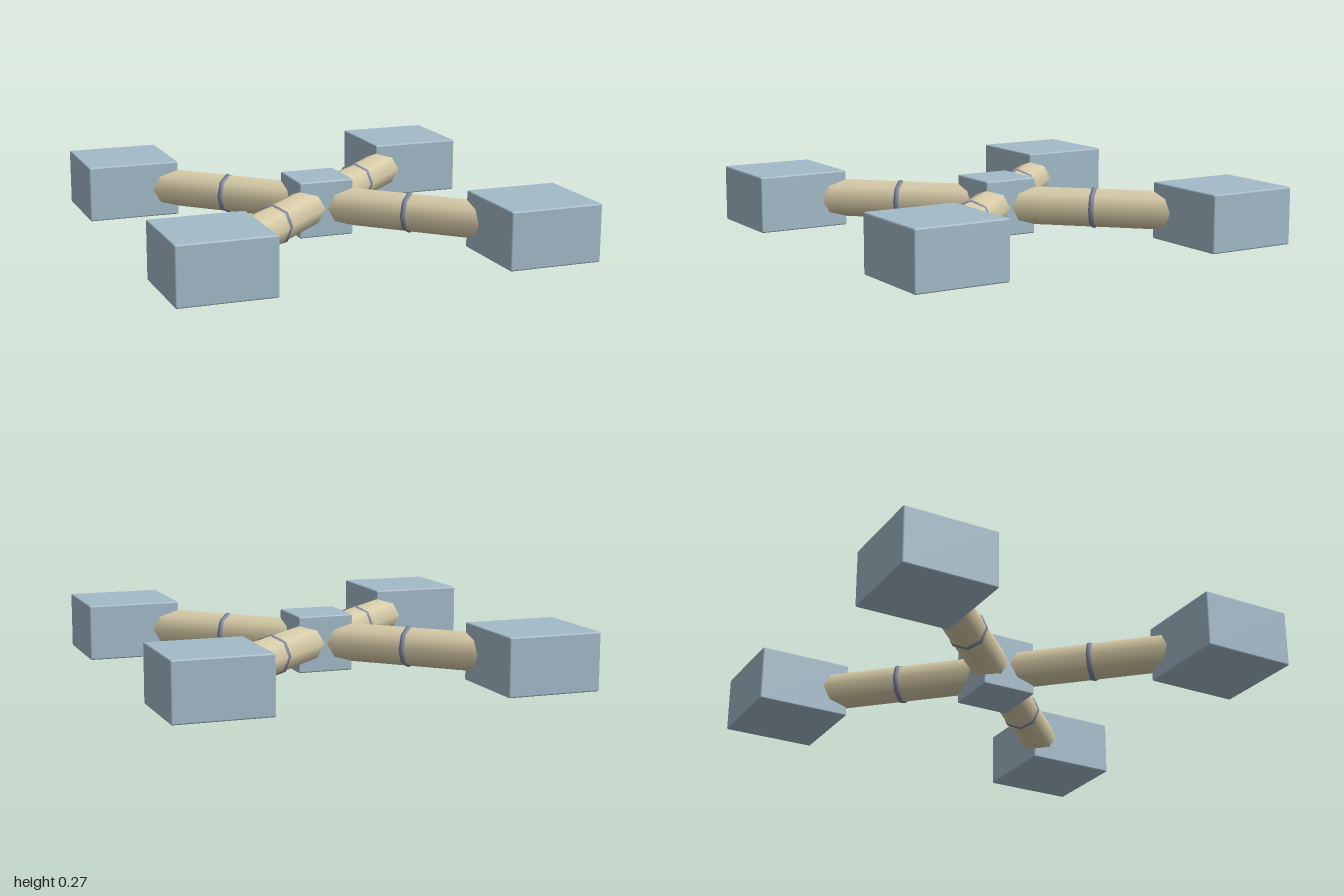
import * as THREE from 'three';
import { RoundedBoxGeometry } from 'three/addons/geometries/RoundedBoxGeometry.js';

const HEIGHT = 0.274;
const MID = HEIGHT / 2;
const PAD = 0.456;
const CORNER = 1 - PAD / 2;

const mat = (name, color) => {
  const m = new THREE.MeshStandardMaterial({ color });
  m.name = name;
  return m;
};

export function createModel() {
  const model = new THREE.Group();
  model.name = 'crossFrame';
  const blue = mat('pale blue', 0xa3bbc9);
  const tan = mat('tan', 0xd8cca8);
  const slate = mat('slate', 0x8088a0);

  const add = (parent, name, geometry, material, x, y, z) => {
    const mesh = new THREE.Mesh(geometry, material);
    mesh.name = name;
    mesh.position.set(x, y, z);
    parent.add(mesh);
    return mesh;
  };

  // Central hub
  add(model, 'hub', new RoundedBoxGeometry(HEIGHT, HEIGHT, HEIGHT, 2, 0.008), blue, 0, MID, 0);

  const padGeometry = new RoundedBoxGeometry(PAD, HEIGHT, PAD, 2, 0.008);
  const armLength = CORNER * Math.SQRT2;
  // Octagonal tube and band, both running along local z
  const armGeometry = new THREE.CylinderGeometry(0.093, 0.093, armLength, 8).rotateX(Math.PI / 2);
  const bandGeometry = new THREE.TorusGeometry(0.083, 0.017, 8, 8);

  // Four diagonal arms, each with a band and an end block
  for (let i = 0; i < 4; i++) {
    const angle = Math.PI / 4 + (i * Math.PI) / 2;
    const arm = new THREE.Group();
    arm.name = 'armAssembly' + (i + 1);
    arm.rotation.y = angle;
    add(arm, 'arm', armGeometry, tan, 0, MID, armLength / 2);
    add(arm, 'band', bandGeometry, slate, 0, MID, armLength * 0.444);
    const pad = add(arm, 'endBlock', padGeometry, blue, 0, MID, armLength);
    pad.rotation.y = -angle;
    model.add(arm);
  }
  return model;
}
